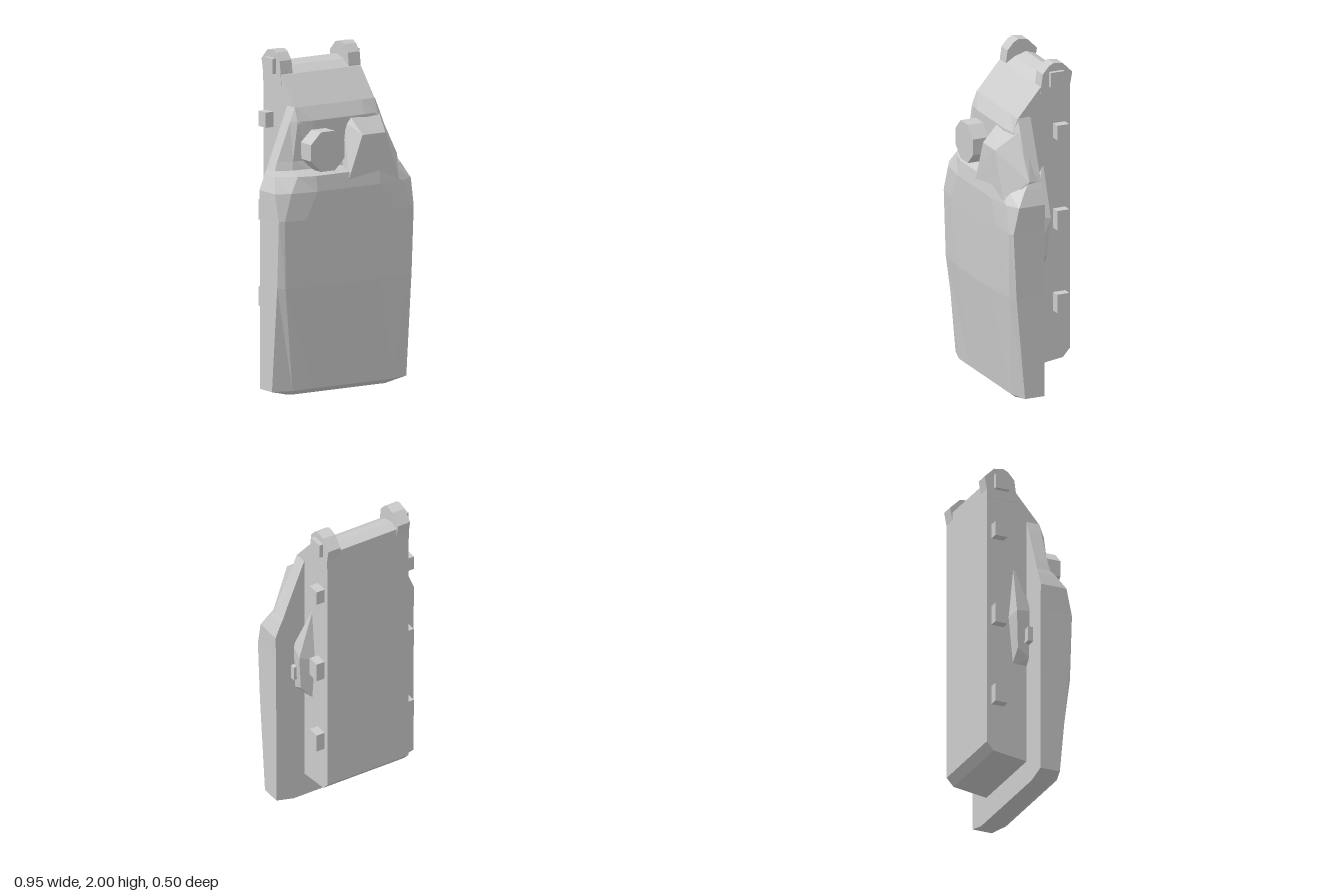
import * as THREE from 'three';
import { ConvexGeometry } from 'three/addons/geometries/ConvexGeometry.js';

const material = new THREE.MeshStandardMaterial({ color: 0xcccccc, flatShading: true });

function add(parent, name, geometry) {
  const mesh = new THREE.Mesh(geometry, material);
  mesh.name = name;
  parent.add(mesh);
  return mesh;
}

// Side profile of [z, y] points, extruded across x and centred on cx
function sideExtrude(profile, width, cx) {
  const shape = new THREE.Shape(profile.map(([z, y]) => new THREE.Vector2(z, y)));
  const geo = new THREE.ExtrudeGeometry(shape, { depth: width, bevelEnabled: false });
  geo.translate(0, 0, -width / 2);
  geo.rotateY(-Math.PI / 2);
  geo.translate(cx, 0, 0);
  return geo;
}

function hull(points) {
  return new ConvexGeometry(points.map((p) => new THREE.Vector3(...p)));
}

// Box given by its x, y and z ranges
function block(x0, x1, y0, y1, z0, z1) {
  const geo = new THREE.BoxGeometry(Math.abs(x1 - x0), y1 - y0, z1 - z0);
  geo.translate((x0 + x1) / 2, (y0 + y1) / 2, (z0 + z1) / 2);
  return geo;
}

// Faceted front shell lofted through mirrored cross-sections
function shellGeometry() {
  const back = 0.02;
  // y, side x, side z, chamfer x, chamfer z, panel x, panel z
  const rows = [
    [0.00, 0.35, 0.125, 0.33, 0.14, 0.20, 0.14],
    [0.03, 0.47, 0.145, 0.35, 0.18, 0.20, 0.18],
    [0.65, 0.47, 0.20, 0.43, 0.228, 0.22, 0.248],
    [1.05, 0.472, 0.22, 0.44, 0.236, 0.30, 0.25],
    [1.21, 0.475, 0.185, 0.39, 0.23, 0.22, 0.25],
    [1.30, 0.438, 0.13, 0.33, 0.205, 0.22, 0.235],
    [1.33, 0.423, 0.105, 0.33, 0.15, 0.22, 0.16],
    [1.38, 0.405, 0.10, 0.32, 0.14, 0.20, 0.145],
    [1.61, 0.313, 0.10, 0.28, 0.13, 0.18, 0.145],
    [1.69, 0.28, 0.10, 0.27, 0.10, 0.18, 0.10],
  ];
  const positions = [];
  for (const [y, sx, sz, cx, cz, px, pz] of rows) {
    const half = [[sx, back], [sx, sz], [cx, cz], [px, pz]];
    for (const [x, z] of half) positions.push(x, y, z);
    for (const [x, z] of half.reverse()) positions.push(-x, y, z);
  }
  const n = 8;
  const index = [];
  for (let i = 0; i < rows.length - 1; i++) {
    for (let j = 0; j < n; j++) {
      const a = i * n + j;
      const b = i * n + (j + 1) % n;
      index.push(a, a + n, b + n, a, b + n, b);
    }
  }
  const top = (rows.length - 1) * n;
  for (let j = 1; j < n - 1; j++) {
    index.push(0, j, j + 1, top, top + j + 1, top + j);
  }
  const geo = new THREE.BufferGeometry();
  geo.setAttribute('position', new THREE.Float32BufferAttribute(positions, 3));
  geo.setIndex(index);
  const flat = geo.toNonIndexed();
  flat.computeVertexNormals();
  return flat;
}

export function createModel() {
  const model = new THREE.Group();
  model.name = 'armouredPack';

  add(model, 'frontShell', shellGeometry());

  // Rear housing with sloping shoulder
  add(model, 'rearHousing', sideExtrude([
    [0.03, 0.15], [0.03, 1.55], [0.135, 1.60], [0.10, 1.69], [-0.045, 1.86],
    [-0.11, 1.90], [-0.18, 1.92], [-0.235, 1.90], [-0.235, 0.23], [-0.19, 0.18],
  ].reverse(), 0.555, 0));

  // Raised angular shoulder beside the recess
  add(model, 'shoulderBlock', hull([
    [0.10, 1.51, 0.24], [0.26, 1.51, 0.24], [0.08, 1.61, 0.135], [0.30, 1.61, 0.11],
    [0.04, 1.35, 0.242], [0.00, 1.25, 0.242], [0.36, 1.23, 0.232], [0.435, 1.345, 0.10],
    [0.02, 1.36, 0.14], [0.05, 1.58, 0.13], [0.03, 1.30, 0.06], [0.42, 1.34, 0.04], [0.30, 1.60, 0.04],
  ]));

  // Octagonal cap sitting in the recess
  const cap = new THREE.CylinderGeometry(0.127, 0.127, 0.13, 8);
  cap.rotateY(Math.PI / 8);
  cap.rotateX(Math.PI / 2);
  add(model, 'octagonalCap', cap).position.set(-0.145, 1.44, 0.18);

  const lugProfile = [
    [-0.045, 1.80], [-0.05, 1.87], [-0.06, 1.94], [-0.10, 1.985], [-0.13, 2.0],
    [-0.19, 1.99], [-0.25, 1.93], [-0.235, 1.85], [-0.235, 1.80],
  ];
  // Side studs: outer x, y range, z range
  const studs = [
    [0.305, 1.86, 1.95, -0.19, -0.10],
    [0.333, 1.54, 1.63, -0.205, -0.128],
    [0.333, 0.985, 1.105, -0.205, -0.128],
    [0.333, 0.475, 0.59, -0.205, -0.128],
  ];

  for (const side of [1, -1]) {
    const group = new THREE.Group();
    group.name = side > 0 ? 'leftFittings' : 'rightFittings';
    model.add(group);

    add(group, 'topLug', sideExtrude(lugProfile, 0.083, side * 0.2385));

    for (const [x, y0, y1, z0, z1] of studs) {
      add(group, 'sideStud', block(side * 0.26, side * x, y0, y1, z0, z1));
    }

    // Pointed fin between the housing and the shell
    const reach = side > 0 ? 0.368 : 0.34;
    add(group, 'sideFin', hull([
      [0.27, 1.40, -0.065], [0.27, 1.05, -0.098], [0.27, 0.755, -0.07],
      [0.27, 0.755, 0.03], [0.27, 1.20, 0.03],
      [reach, 1.08, -0.07], [reach - 0.02, 0.85, -0.055],
      [reach - 0.02, 1.10, 0.03], [reach - 0.03, 0.80, 0.03],
    ].map(([x, y, z]) => [side * x, y, z])));
    add(group, 'finTab', block(side * 0.31, side * 0.37, 0.885, 0.975, -0.012, 0.03));
  }

  return model;
}
